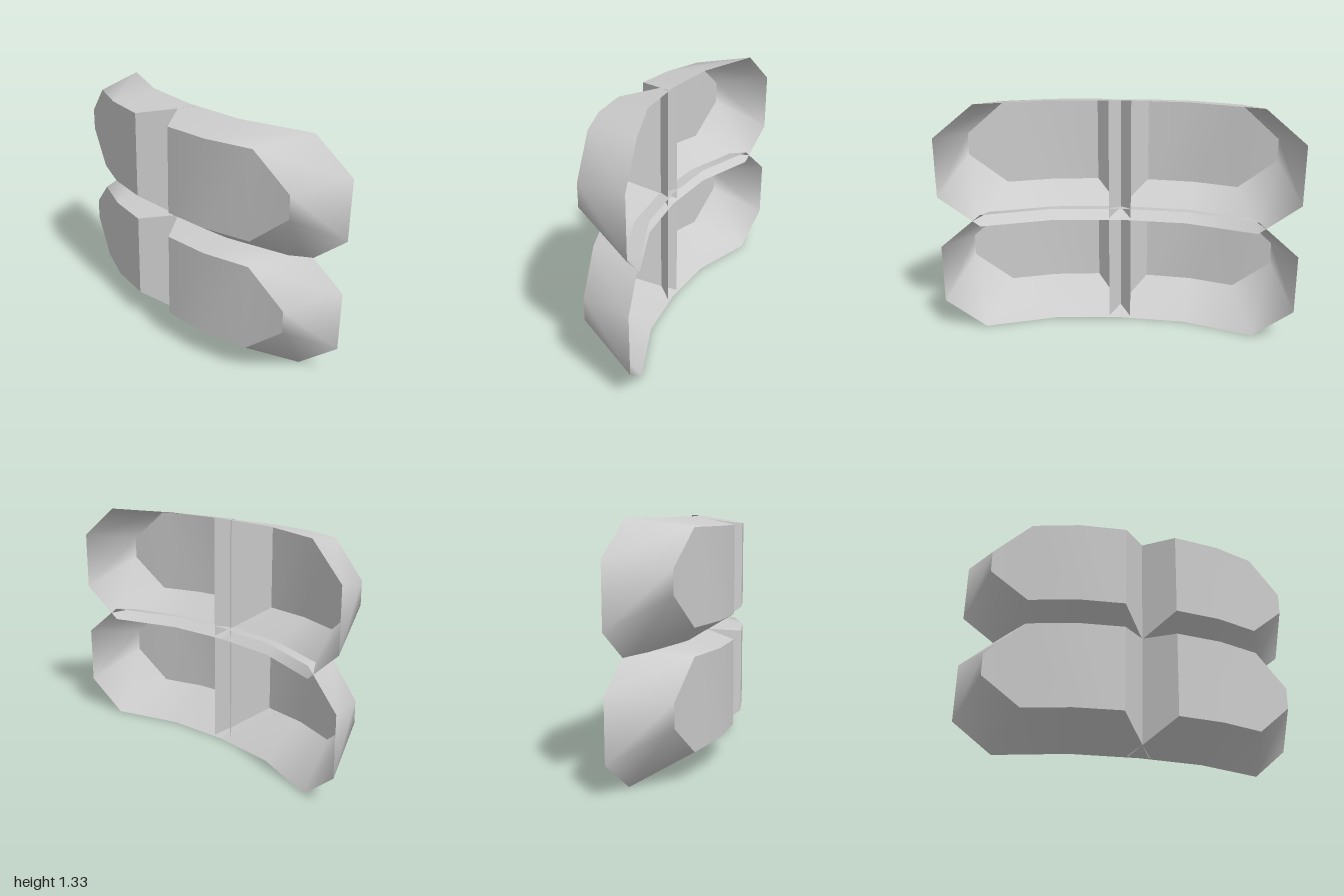
import * as THREE from 'three';

// Columns of a half pad, from the centre groove outwards: [x, z, yLow, yHigh]
const FRONT = [[0.15, 0.24, 0.17, 0.657], [0.42, 0.21, 0.17, 0.657], [0.68, 0.125, 0.17, 0.657], [0.89, 0.07, 0.35, 0.475]];
const REAR = [[-0.063, -0.015, 0, 0.7], [0.38, -0.05, 0, 0.7], [0.78, -0.19, 0, 0.7], [1, -0.24, 0.185, 0.52]];
const ROW_STEP = 0.632;

// Outline loop: along the top edge outwards, then back along the bottom edge
const outline = (cols) => [
  ...cols.map(([x, z, , hi]) => [x, hi, z]),
  ...cols.map(([x, z, lo]) => [x, lo, z]).reverse(),
];

// Smooth surface from points and quads, mirrored when side is -1
function surface(points, quads, side) {
  const geometry = new THREE.BufferGeometry();
  const positions = points.flatMap(([x, y, z]) => [x * side, y, z]);
  geometry.setAttribute('position', new THREE.Float32BufferAttribute(positions, 3));
  geometry.setIndex(quads.flatMap(([a, b, c, d]) =>
    side > 0 ? [a, b, c, a, c, d] : [a, c, b, a, d, c]));
  geometry.computeVertexNormals();
  return geometry;
}

function halfPad(side, material) {
  const pad = new THREE.Group();
  pad.name = side > 0 ? 'leftPad' : 'rightPad';
  const front = outline(FRONT);
  const all = [...front, ...outline(REAR)];
  const add = (name, points, quads) => {
    const mesh = new THREE.Mesh(surface(points, quads, side), material);
    mesh.name = name;
    pad.add(mesh);
  };

  // Curved front plate
  add('frontPlate', front, [0, 1, 2].map((i) => [7 - i, 6 - i, i + 1, i]));
  // Sloping rim around the top, outer end and bottom; the back stays open
  add('rim', all, [0, 1, 2, 3, 4, 5, 6].map((k) => [k, k + 1, k + 9, k + 8]));
  // Slanted wall of the centre groove
  add('grooveWall', [all[7], all[0], all[8], all[15]], [[0, 1, 2, 3]]);
  return pad;
}

export function createModel() {
  const model = new THREE.Group();
  model.name = 'curvedPads';
  const material = new THREE.MeshStandardMaterial({ color: 0xcccccc, side: THREE.DoubleSide });
  material.name = 'lightGrey';

  // Two stacked rows, each a mirrored pair
  ['lowerRow', 'upperRow'].forEach((name, i) => {
    const row = new THREE.Group();
    row.name = name;
    row.position.y = i * ROW_STEP;
    row.add(halfPad(1, material), halfPad(-1, material));
    model.add(row);
  });
  return model;
}
